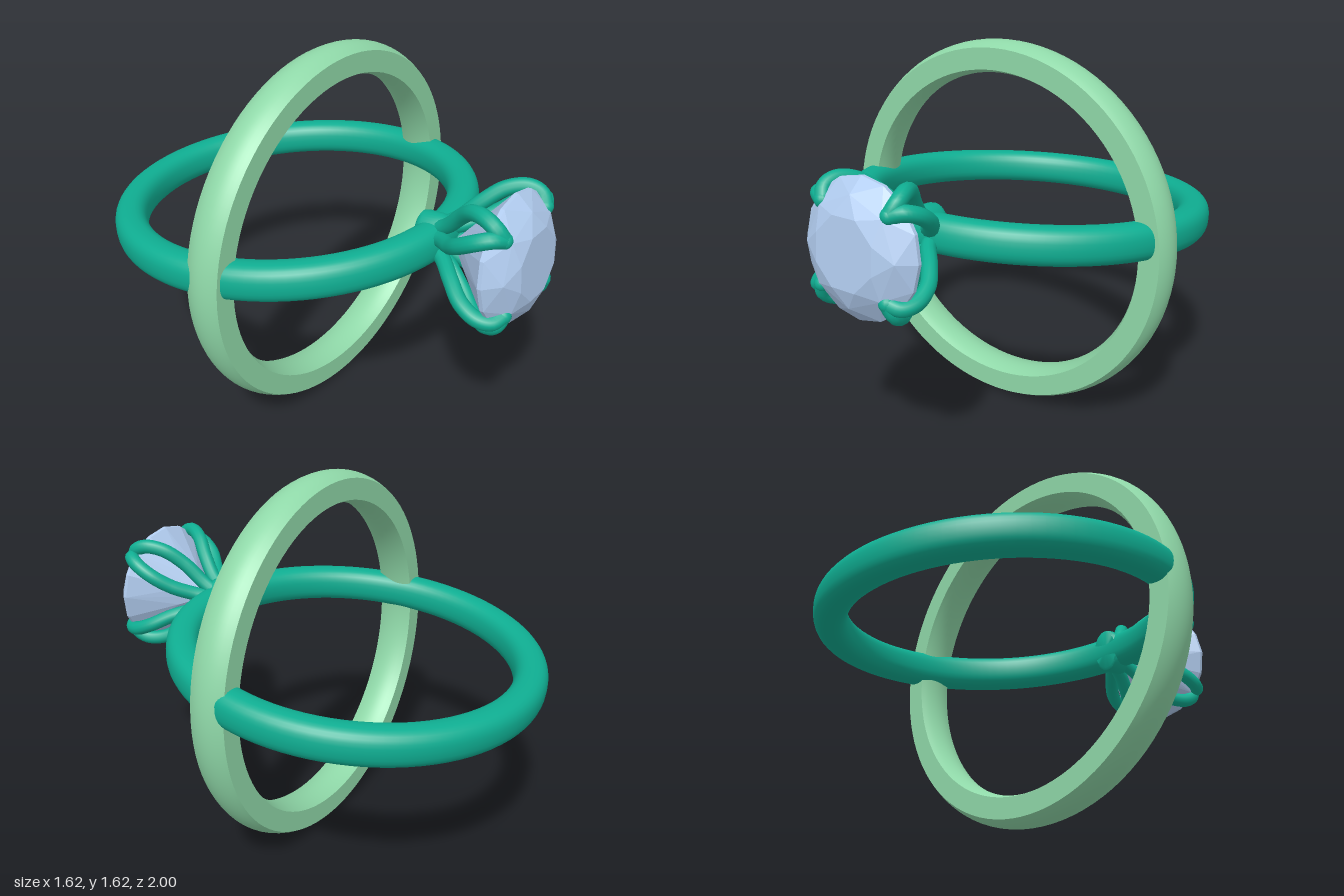
import * as THREE from 'three';
import { toCreasedNormals } from 'three/addons/utils/BufferGeometryUtils.js';
import { ConvexGeometry } from 'three/addons/geometries/ConvexGeometry.js';

const teal = new THREE.MeshStandardMaterial({ color: 0x0fae92 });
const paleGreen = new THREE.MeshStandardMaterial({ color: 0x8fd8a8 });
const gemBlue = new THREE.MeshStandardMaterial({ color: 0xb0cbee, flatShading: true });

function addMesh(parent, name, geometry, material) {
  const mesh = new THREE.Mesh(geometry, material);
  mesh.name = name;
  parent.add(mesh);
  return mesh;
}

// Plain band: flat sides, domed outside and inside
function plainBandGeometry() {
  const half = 0.08, steps = 10, points = [];
  for (let i = 0; i <= steps; i++) {
    const t = -1 + (2 * i) / steps;
    points.push(new THREE.Vector2(0.785 + 0.026 * (1 - t * t), t * half));
  }
  for (let i = 0; i <= steps; i++) {
    const t = 1 - (2 * i) / steps;
    points.push(new THREE.Vector2(0.694 - 0.02 * (1 - t * t), t * half));
  }
  points.push(points[0].clone());
  return toCreasedNormals(new THREE.LatheGeometry(points, 96), 0.5);
}

// Ring shank: soft oval section swept round
function shankGeometry() {
  const points = [], power = 2 / 2.5;
  const soft = (v) => Math.sign(v) * Math.abs(v) ** power;
  for (let i = 0; i <= 28; i++) {
    const a = (i / 28) * Math.PI * 2;
    points.push(new THREE.Vector2(0.738 + 0.07 * soft(Math.cos(a)), 0.078 * soft(Math.sin(a))));
  }
  return toCreasedNormals(new THREE.LatheGeometry(points, 96), 0.7);
}

// Brilliant-cut stone, table facing +z, girdle at z = 0
function gemGeometry() {
  const points = [];
  const ring = (count, radius, z, turn) => {
    for (let i = 0; i < count; i++) {
      const a = ((i + turn) / count) * Math.PI * 2;
      points.push(new THREE.Vector3(Math.cos(a) * radius, Math.sin(a) * radius, z));
    }
  };
  ring(8, 0.145, 0.097, 0.5); // table
  ring(8, 0.212, 0.066, 0); // star facets
  ring(16, 0.272, 0.008, 0); // girdle
  ring(16, 0.272, -0.008, 0);
  ring(8, 0.105, -0.175, 0.5); // pavilion
  points.push(new THREE.Vector3(0, 0, -0.27));
  return new ConvexGeometry(points);
}

// One strand of a split claw; rows are radius, z, angle away from the claw's middle
const strandPath = [
  [0.05, 0.75, 0.3], [0.095, 0.82, 0.36], [0.175, 0.9, 0.36],
  [0.25, 0.98, 0.27], [0.28, 1.055, 0.17], [0.268, 1.105, 0.08], [0.225, 1.128, 0],
];
function strandCurve(middle, side) {
  return new THREE.CatmullRomCurve3(strandPath.map(([r, z, off]) => {
    const a = middle + side * off;
    return new THREE.Vector3(Math.cos(a) * r, Math.sin(a) * r, z);
  }));
}

export function createModel() {
  const model = new THREE.Group();
  model.name = 'ringPair';

  const band = addMesh(model, 'plainBand', plainBandGeometry(), paleGreen);
  band.rotation.x = Math.PI / 2;
  band.position.set(0, 0.815, -0.01);

  // Stone ring, tilted slightly up towards the front
  const stoneRing = new THREE.Group();
  stoneRing.name = 'stoneRing';
  stoneRing.position.set(0, 0.885, -0.195);
  stoneRing.rotation.x = -0.093;
  model.add(stoneRing);
  addMesh(stoneRing, 'shank', shankGeometry(), teal);

  // Oval collar where the setting meets the shank
  const collarProfile = [[0, -0.06], [0.85, -0.06], [0.96, -0.052], [1, -0.035],
    [1, 0.035], [0.94, 0.055], [0.8, 0.065], [0, 0.065]].map(([r, y]) => new THREE.Vector2(r, y));
  const collarGeometry = new THREE.LatheGeometry(collarProfile, 40);
  collarGeometry.scale(0.075, 1, 0.103);
  collarGeometry.rotateX(Math.PI / 2);
  const collar = addMesh(stoneRing, 'collar', toCreasedNormals(collarGeometry, 0.7), teal);
  collar.position.z = 0.73;

  const gem = addMesh(stoneRing, 'gem', gemGeometry(), gemBlue);
  gem.position.z = 1.09;

  // Four split claws on the diagonals
  for (let i = 0; i < 4; i++) {
    const claw = new THREE.Group();
    claw.name = 'claw';
    stoneRing.add(claw);
    const middle = Math.PI / 4 + (i * Math.PI) / 2;
    for (const side of [-1, 1]) {
      addMesh(claw, 'clawStrand', new THREE.TubeGeometry(strandCurve(middle, side), 40, 0.032, 12), teal);
    }
    const tip = addMesh(claw, 'clawTip', new THREE.SphereGeometry(0.033, 16, 12), teal);
    tip.position.copy(strandCurve(middle, 1).getPoint(1));
  }
  return model;
}
